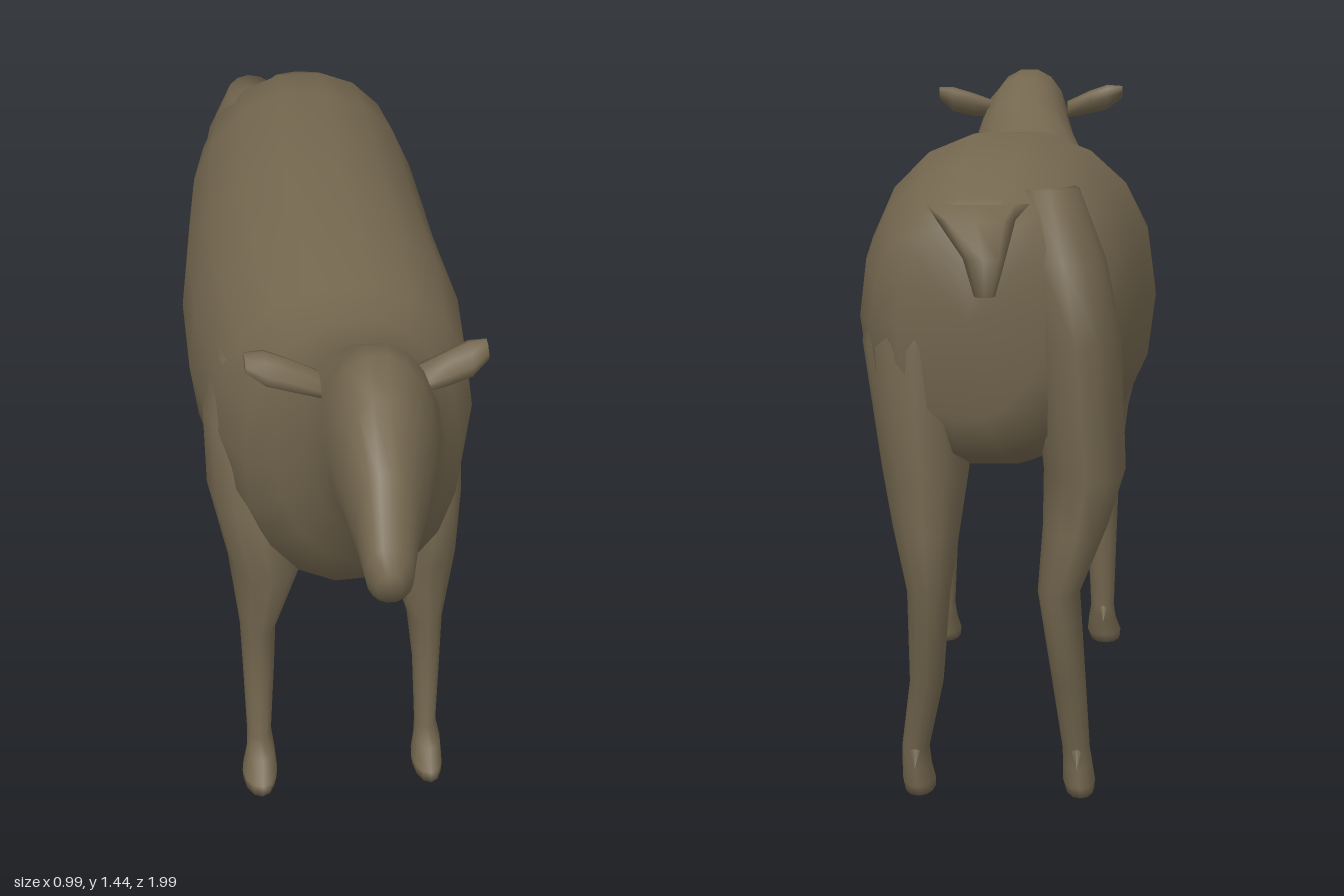
import * as THREE from 'three';

const V = (x, y, z) => new THREE.Vector3(x, y, z);
const YAW = 0.385; // the body stands turned towards its left
const RIGHT = V(Math.cos(YAW), 0, -Math.sin(YAW));
const FORWARD = V(Math.sin(YAW), 0, Math.cos(YAW));

// Closed smooth skin over oval rings {c, u, v}; u x v points along the loft
function loft(rings, sides, power = 1) {
  const pos = [], index = [];
  const soft = (t) => Math.sign(t) * Math.abs(t) ** power;
  for (const { c, u, v } of rings) {
    for (let j = 0; j < sides; j++) {
      const a = (j / sides) * Math.PI * 2;
      const p = c.clone().addScaledVector(u, soft(Math.cos(a))).addScaledVector(v, soft(Math.sin(a)));
      pos.push(p.x, p.y, p.z);
    }
  }
  const last = rings.length - 1;
  for (let i = 0; i < last; i++) {
    for (let j = 0; j < sides; j++) {
      const k = (j + 1) % sides;
      const a = i * sides + j, b = i * sides + k, c = a + sides, d = b + sides;
      index.push(a, b, c, b, d, c);
    }
  }
  const start = pos.length / 3, end = start + 1;
  pos.push(...rings[0].c.toArray(), ...rings[last].c.toArray());
  for (let j = 0; j < sides; j++) {
    const k = (j + 1) % sides;
    index.push(start, k, j, end, last * sides + j, last * sides + k);
  }
  const g = new THREE.BufferGeometry();
  g.setAttribute('position', new THREE.Float32BufferAttribute(pos, 3));
  g.setIndex(index);
  g.computeVertexNormals();
  return g;
}

// Upright ring given by its top point, bottom point and half width
const section = ([tx, ty, tz, bx, by, bz, hw]) => ({
  c: V((tx + bx) / 2, (ty + by) / 2, (tz + bz) / 2),
  u: RIGHT.clone().multiplyScalar(hw),
  v: V((tx - bx) / 2, (ty - by) / 2, (tz - bz) / 2),
});

// Level ring for a leg: centre, half width, half depth
const legRing = ([x, y, z, hw, hd]) => ({
  c: V(x, y, z),
  u: RIGHT.clone().multiplyScalar(hw),
  v: FORWARD.clone().multiplyScalar(hd),
});

export function createModel() {
  const group = new THREE.Group();
  const wool = new THREE.MeshStandardMaterial({ color: 0x74674f });
  wool.name = 'brownWool';
  const add = (name, geometry) => {
    const mesh = new THREE.Mesh(geometry, wool);
    mesh.name = name;
    group.add(mesh);
    return mesh;
  };

  // Rump, barrel, neck and head as one skin
  const torso = [
    [-0.26, 1.19, -0.935, -0.24, 0.8, -0.92, 0.14],
    [-0.25, 1.23, -0.87, -0.25, 0.72, -0.87, 0.215],
    [-0.22, 1.29, -0.76, -0.22, 0.68, -0.75, 0.26],
    [-0.16, 1.34, -0.56, -0.16, 0.645, -0.55, 0.285],
    [-0.06, 1.328, -0.25, -0.06, 0.6, -0.25, 0.31],
    [0.04, 1.31, 0, 0.04, 0.615, 0, 0.318],
    [0.12, 1.28, 0.19, 0.14, 0.65, 0.25, 0.29],
    [0.16, 1.265, 0.3, 0.22, 0.71, 0.47, 0.235],
    [0.2, 1.305, 0.44, 0.27, 0.85, 0.57, 0.18],
  ];
  const head = [
    [0.25, 1.37, 0.53, 0.31, 1.02, 0.68, 0.138],
    [0.28, 1.425, 0.61, 0.34, 1.09, 0.74, 0.118],
    [0.3, 1.445, 0.68, 0.35, 1.1, 0.79, 0.108],
    [0.33, 1.42, 0.78, 0.37, 1.085, 0.85, 0.086],
    [0.365, 1.33, 0.89, 0.385, 1.08, 0.92, 0.06],
    [0.39, 1.22, 0.975, 0.395, 1.07, 0.945, 0.046],
    [0.4, 1.175, 0.997, 0.4, 1.11, 0.985, 0.025],
  ];
  add('bodyAndHead', loft([...torso, ...head].map(section), 18, 0.92));

  // Legs, from the shoulder or hip inside the body down to the sole
  const legs = {
    leftFrontLeg: [
      [0.26, 1.12, 0.1, 0.05, 0.09], [0.285, 0.97, 0.11, 0.085, 0.15], [0.302, 0.8, 0.15, 0.08, 0.175],
      [0.3, 0.62, 0.17, 0.085, 0.125], [0.325, 0.43, 0.2, 0.042, 0.06], [0.335, 0.3, 0.21, 0.033, 0.042],
      [0.34, 0.1, 0.215, 0.026, 0.036], [0.35, 0.06, 0.235, 0.032, 0.05], [0.355, 0.02, 0.258, 0.037, 0.066],
      [0.357, 0, 0.265, 0.034, 0.07]],
    rightFrontLeg: [
      [-0.1, 1.12, 0.23, 0.05, 0.09], [-0.09, 0.97, 0.24, 0.095, 0.15], [-0.068, 0.8, 0.28, 0.1, 0.175],
      [-0.03, 0.62, 0.31, 0.085, 0.125], [-0.043, 0.43, 0.335, 0.042, 0.06], [-0.04, 0.3, 0.345, 0.037, 0.042],
      [-0.04, 0.1, 0.35, 0.029, 0.036], [-0.03, 0.06, 0.375, 0.034, 0.05], [-0.025, 0.02, 0.402, 0.042, 0.066],
      [-0.025, 0, 0.41, 0.038, 0.07]],
    leftHindLeg: [
      [-0.13, 1.21, -0.78, 0.07, 0.1], [-0.11, 1.08, -0.815, 0.105, 0.135], [-0.095, 0.94, -0.83, 0.11, 0.15],
      [-0.1, 0.68, -0.81, 0.088, 0.165], [-0.12, 0.57, -0.85, 0.068, 0.125], [-0.15, 0.45, -0.905, 0.043, 0.055],
      [-0.12, 0.25, -0.855, 0.034, 0.042], [-0.08, 0.1, -0.825, 0.028, 0.036], [-0.075, 0.06, -0.81, 0.03, 0.05],
      [-0.07, 0.02, -0.79, 0.034, 0.064], [-0.07, 0, -0.785, 0.032, 0.067]],
    rightHindLeg: [
      [-0.33, 1.24, -0.72, 0.06, 0.1], [-0.365, 1.1, -0.73, 0.085, 0.15], [-0.39, 0.95, -0.73, 0.092, 0.165],
      [-0.4, 0.68, -0.7, 0.082, 0.16], [-0.392, 0.57, -0.73, 0.065, 0.13], [-0.385, 0.45, -0.8, 0.042, 0.055],
      [-0.385, 0.25, -0.745, 0.034, 0.042], [-0.385, 0.1, -0.705, 0.028, 0.036], [-0.383, 0.06, -0.69, 0.03, 0.05],
      [-0.38, 0.02, -0.675, 0.033, 0.067], [-0.38, 0, -0.67, 0.03, 0.07]],
  };
  for (const [name, rings] of Object.entries(legs)) {
    add(name, loft(rings.map(legRing), 12));
    // Dewclaw behind the ankle
    const [x, y, z] = rings[rings.length - 4];
    const claw = add(name + 'Dewclaw', new THREE.ConeGeometry(0.016, 0.05, 6));
    claw.position.set(x, y - 0.015, z).addScaledVector(FORWARD, -0.035);
    claw.rotation.set(-2.5, YAW, 0, 'YXZ');
  }

  // Ears: thick leaves, widest past the middle
  const ear = (name, side, points) => {
    const sizes = [[0.028, 0.022], [0.03, 0.03], [0.034, 0.032], [0.018, 0.016]];
    const rings = points.map((p, i) => ({
      c: V(...p),
      u: FORWARD.clone().multiplyScalar(-side * sizes[i][0]),
      v: V(0, sizes[i][1], 0).addScaledVector(FORWARD, -0.01),
    }));
    add(name, loft(rings, 8));
  };
  ear('leftEar', 1, [[0.36, 1.34, 0.59], [0.41, 1.353, 0.56], [0.455, 1.367, 0.53], [0.485, 1.383, 0.512]]);
  ear('rightEar', -1, [[0.18, 1.34, 0.65], [0.12, 1.36, 0.662], [0.075, 1.373, 0.67], [0.038, 1.386, 0.68]]);

  // Short tail spreading out of the rump
  const tail = [
    [-0.24, 1.215, -0.86, 0.1, 0.04], [-0.265, 1.19, -0.925, 0.075, 0.04],
    [-0.295, 1.12, -0.955, 0.04, 0.035], [-0.3, 1.05, -0.965, 0.02, 0.022],
  ];
  add('tail', loft(tail.map(legRing), 8));

  return group;
}
